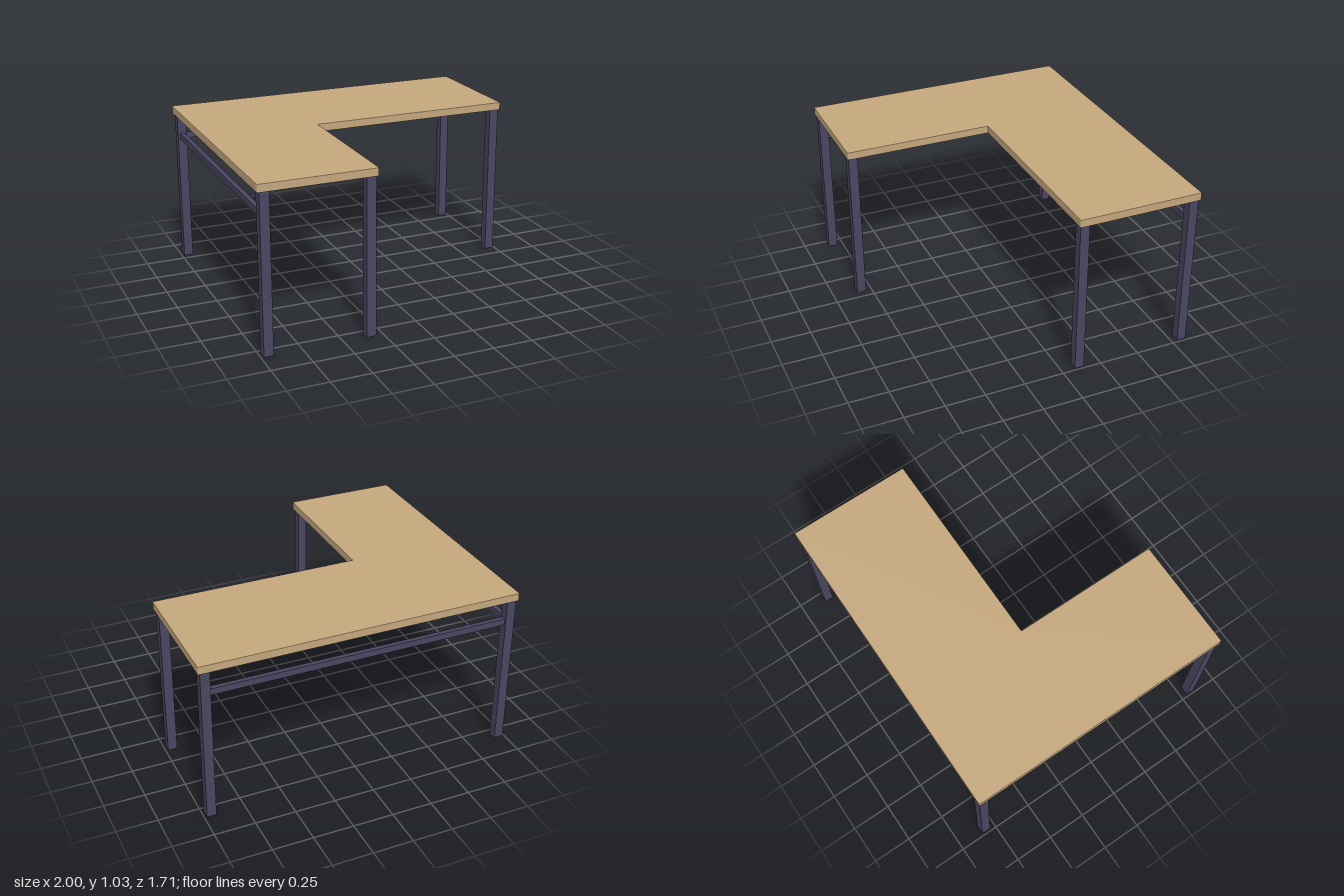
import * as THREE from 'three';

const wood = new THREE.MeshStandardMaterial({ color: 0xc4a77d });
const metal = new THREE.MeshStandardMaterial({ color: 0x4a4560 });

const LEG = 0.058, LEG_HEIGHT = 0.98, TOP = 1.03;
const LEFT = -0.957, RIGHT = 0.957, INNER_X = -0.33;
const BACK = -0.815, FRONT = 0.818, INNER_Z = -0.113;

// Closed outline whose corners are rounded by r
function roundedOutline(points, r) {
  const shape = new THREE.Shape();
  points.forEach((p, i) => {
    const corner = new THREE.Vector2(...p);
    const prev = new THREE.Vector2(...points.at(i - 1));
    const next = new THREE.Vector2(...points[(i + 1) % points.length]);
    const a = prev.sub(corner).setLength(r).add(corner);
    const b = next.sub(corner).setLength(r).add(corner);
    if (i === 0) shape.moveTo(a.x, a.y);
    else shape.lineTo(a.x, a.y);
    shape.quadraticCurveTo(corner.x, corner.y, b.x, b.y);
  });
  shape.closePath();
  return shape;
}

// L-shaped slab with slightly eased edges
function makeTop() {
  const bevel = 0.004;
  const x = 1 - bevel, z = 0.855 - bevel;
  const ix = -0.287 - bevel, iz = -0.076 - bevel;
  // Outline in (x, -z), counter-clockwise
  const outline = roundedOutline(
    [[-x, -z], [ix, -z], [ix, -iz], [x, -iz], [x, z], [-x, z]], 0.006);
  const geometry = new THREE.ExtrudeGeometry(outline, {
    depth: TOP - LEG_HEIGHT - 2 * bevel, bevelEnabled: true,
    bevelSize: bevel, bevelThickness: bevel, bevelSegments: 2, curveSegments: 4,
  });
  geometry.rotateX(-Math.PI / 2).translate(0, LEG_HEIGHT + bevel, 0);
  const top = new THREE.Mesh(geometry, wood);
  top.name = 'tabletop';
  return top;
}

// Square post, its ends rounded when seen from the side
function makeLegGeometry() {
  const h = LEG / 2;
  const outline = roundedOutline([[-h, 0], [h, 0], [h, LEG_HEIGHT], [-h, LEG_HEIGHT]], 0.01);
  const geometry = new THREE.ExtrudeGeometry(outline, {
    depth: LEG, bevelEnabled: false, curveSegments: 4,
  });
  return geometry.translate(0, 0, -h).rotateY(Math.PI / 2);
}

export function createModel() {
  const desk = new THREE.Group();
  desk.name = 'cornerDesk';
  desk.add(makeTop());

  // Legs at every corner of the L except the inner one
  const legGeometry = makeLegGeometry();
  const legs = {
    frontRightLeg: [LEFT, FRONT],
    frontInnerLeg: [INNER_X, FRONT],
    backRightLeg: [LEFT, BACK],
    backLeftLeg: [RIGHT, BACK],
    sideInnerLeg: [RIGHT, INNER_Z],
  };
  for (const [name, [x, z]] of Object.entries(legs)) {
    const leg = new THREE.Mesh(legGeometry, metal);
    leg.name = name;
    leg.position.set(x, 0, z);
    desk.add(leg);
  }

  // Rails between the outer legs, along the back and the long side
  const railY = 0.839, railHeight = 0.04, railDepth = 0.03;
  const backRail = new THREE.Mesh(
    new THREE.BoxGeometry(RIGHT - LEFT - LEG, railHeight, railDepth), metal);
  backRail.name = 'backRail';
  backRail.position.set(0, railY, BACK);
  const sideRail = new THREE.Mesh(
    new THREE.BoxGeometry(railDepth, railHeight, FRONT - BACK - LEG), metal);
  sideRail.name = 'sideRail';
  sideRail.position.set(LEFT, railY, (FRONT + BACK) / 2);
  desk.add(backRail, sideRail);

  return desk;
}
